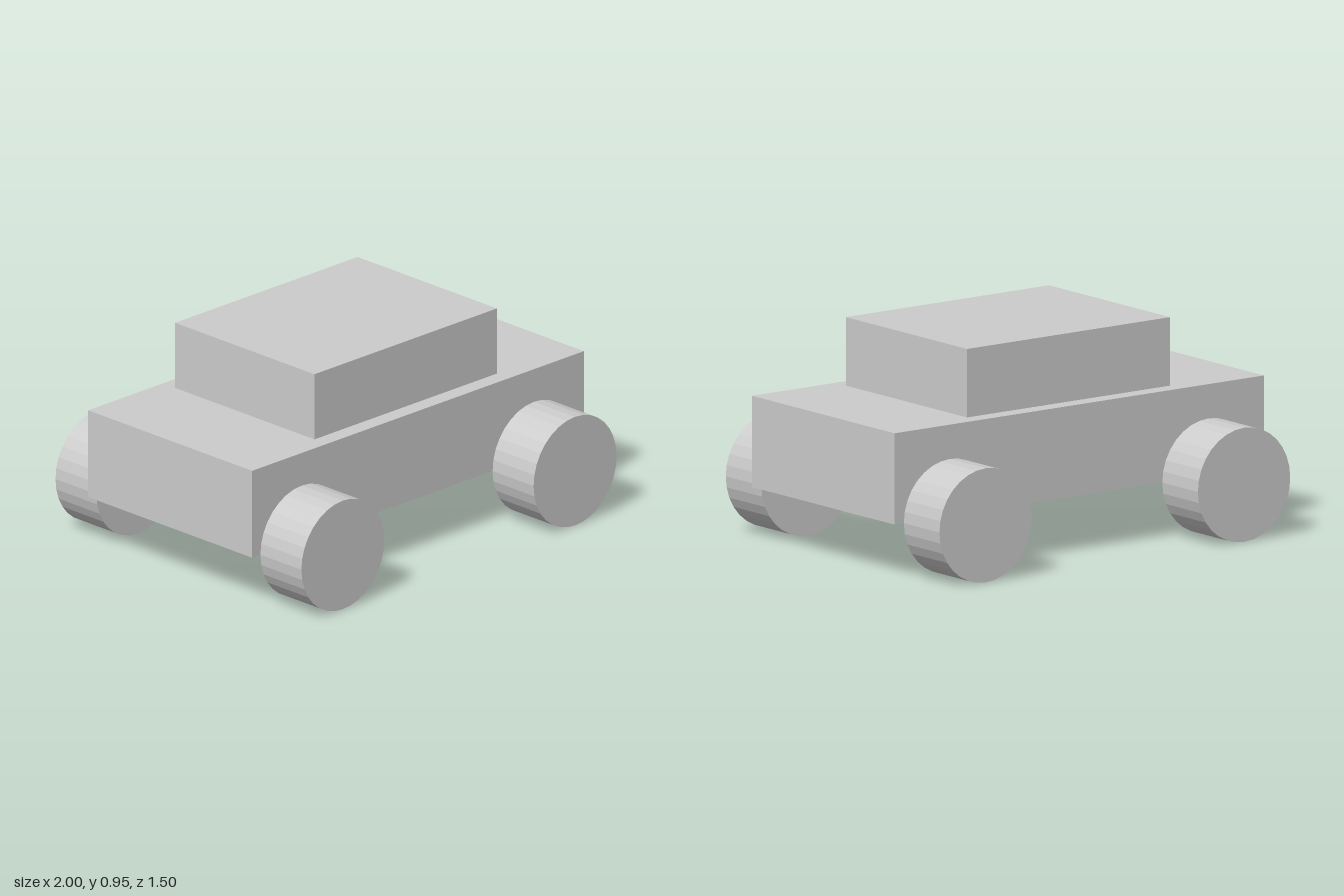
import * as THREE from 'three';

export function createModel() {
  const group = new THREE.Group();
  const material = new THREE.MeshStandardMaterial({ color: 0xcccccc, flatShading: true });

  const add = (name, geometry, x, y, z) => {
    const mesh = new THREE.Mesh(geometry, material);
    mesh.name = name;
    mesh.position.set(x, y, z);
    group.add(mesh);
  };

  // Body and cabin
  add('body', new THREE.BoxGeometry(2, 0.4, 1), 0, 0.45, 0);
  add('cabin', new THREE.BoxGeometry(1.1, 0.3, 0.85), 0, 0.8, 0);

  // Four wheels, flush against the long sides of the body
  const wheel = new THREE.CylinderGeometry(0.25, 0.25, 0.25, 32).rotateX(Math.PI / 2);
  for (const [side, x] of [['Left', 0.7], ['Right', -0.7]]) {
    for (const [end, z] of [['front', 0.625], ['back', -0.625]]) {
      add(`${end}${side}Wheel`, wheel, x, 0.25, z);
    }
  }

  return group;
}
